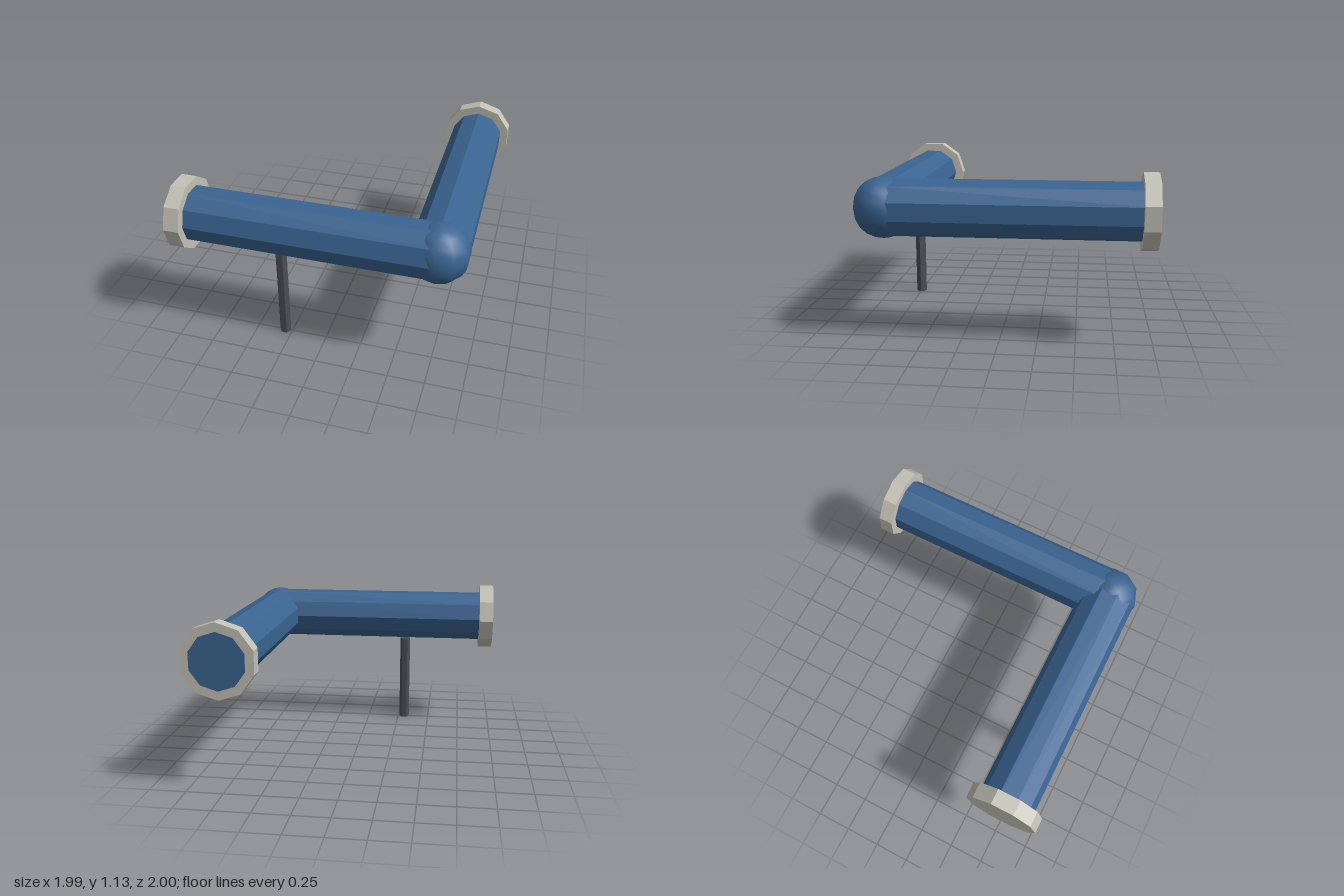
import * as THREE from 'three';

const pipeBlue = new THREE.MeshStandardMaterial({ name: 'pipeBlue', color: 0x3a6491 });
const flangeGrey = new THREE.MeshStandardMaterial({ name: 'flangeGrey', color: 0xc4c2b6 });
const postGrey = new THREE.MeshStandardMaterial({ name: 'postGrey', color: 0x4b4e53 });

const AXIS_Y = 0.88; // height of the pipe axes
const CORNER = 0.75; // x and z of the elbow

// Faceted prism along y with one corner at +z
function prism(radius, length, sides) {
  const geometry = new THREE.CylinderGeometry(radius, radius, length, sides).toNonIndexed();
  geometry.computeVertexNormals();
  return geometry;
}

function addMesh(group, name, geometry, material, x, y, z) {
  const mesh = new THREE.Mesh(geometry, material);
  mesh.name = name;
  mesh.position.set(x, y, z);
  group.add(mesh);
  return mesh;
}

// Prism lying along x, from x = a to x = b
function alongX(group, name, radius, a, b, material) {
  const geometry = prism(radius, b - a, 10).rotateZ(Math.PI / 2);
  addMesh(group, name, geometry, material, (a + b) / 2, AXIS_Y, CORNER);
}

// Prism lying along z, from z = a to z = b
function alongZ(group, name, radius, a, b, material) {
  const geometry = prism(radius, b - a, 10).rotateX(Math.PI / 2);
  addMesh(group, name, geometry, material, CORNER, AXIS_Y, (a + b) / 2);
}

export function createModel() {
  const group = new THREE.Group();
  group.name = 'pipeElbow';

  // Two pipe runs meeting at the elbow
  alongX(group, 'sidePipe', 0.19, -0.998, CORNER, pipeBlue);
  alongZ(group, 'backPipe', 0.19, -1.002, CORNER, pipeBlue);

  // Smooth ball covering the joint
  const ball = new THREE.SphereGeometry(0.2, 10, 10).rotateY(Math.PI / 2);
  addMesh(group, 'elbowBall', ball, pipeBlue, CORNER, AXIS_Y, CORNER);

  // End flanges
  alongX(group, 'sideFlange', 0.25, -1, -0.895, flangeGrey);
  alongZ(group, 'backFlange', 0.25, -1, -0.9, flangeGrey);

  // Six-sided support post under the side pipe
  const post = prism(0.04, 0.68, 6).rotateY(Math.PI / 2);
  addMesh(group, 'supportPost', post, postGrey, -0.3, 0.34, CORNER);

  return group;
}
